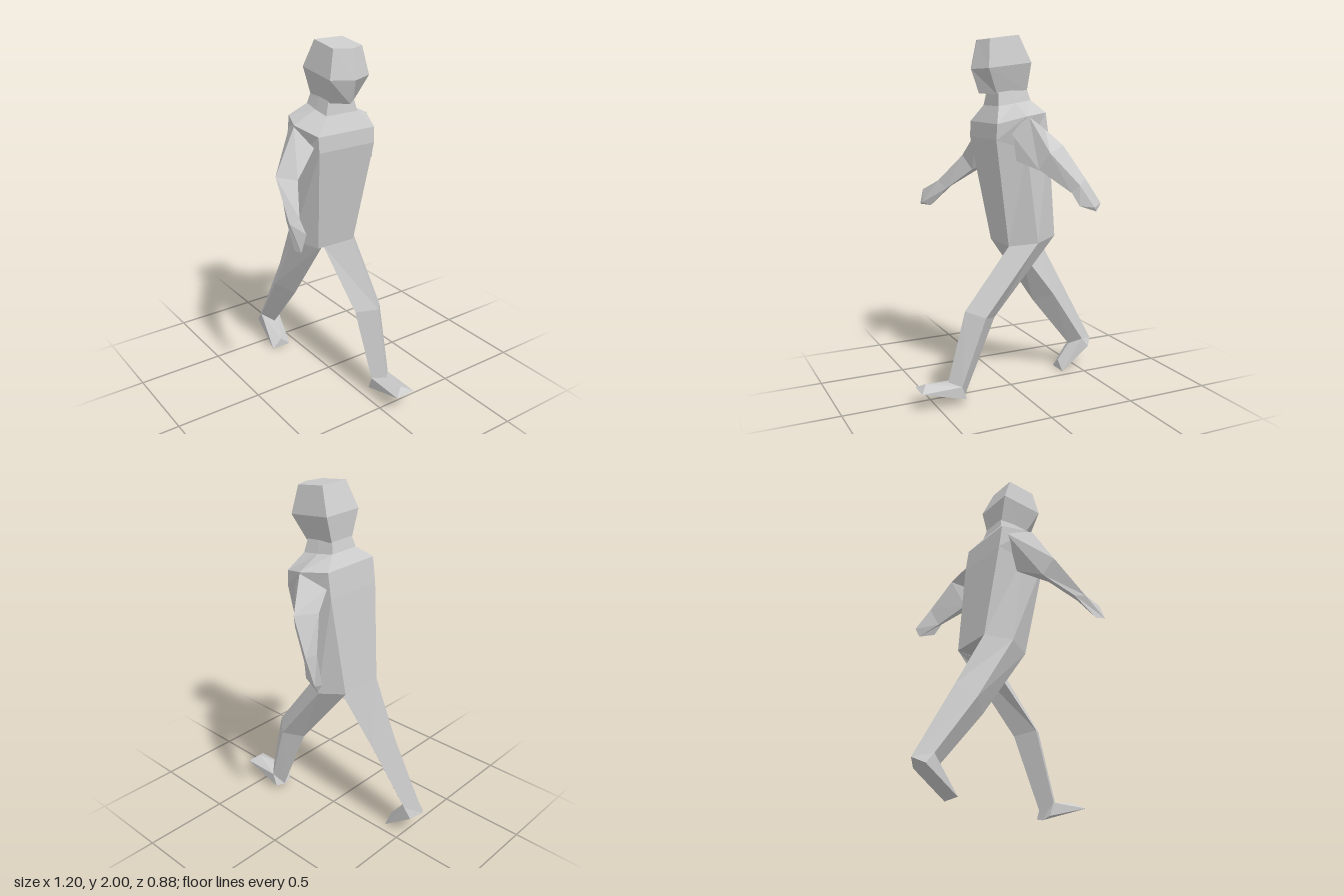
import * as THREE from 'three';
import { ConvexGeometry } from 'three/addons/geometries/ConvexGeometry.js';

const material = new THREE.MeshStandardMaterial({
  color: 0xcccccc, flatShading: true, side: THREE.DoubleSide,
});

// Joins rings of [x, y, z] corners into a closed faceted body, facing outwards.
function loft(rings) {
  const tris = [];
  const n = rings[0].length;
  for (let r = 0; r + 1 < rings.length; r++) {
    const a = rings[r], b = rings[r + 1];
    for (let i = 0; i < n; i++) {
      const j = (i + 1) % n;
      tris.push([a[i], a[j], b[j]], [a[i], b[j], b[i]]);
    }
  }
  const first = rings[0], last = rings[rings.length - 1];
  for (let i = 1; i + 1 < n; i++) {
    tris.push([first[0], first[i + 1], first[i]], [last[0], last[i], last[i + 1]]);
  }
  // Signed volume tells whether the faces point inwards
  const v = (p) => new THREE.Vector3(...p);
  const volume = tris.reduce((s, [a, b, c]) => s + v(a).dot(v(b).cross(v(c))), 0);
  if (volume < 0) tris.forEach((t) => t.reverse());
  const geometry = new THREE.BufferGeometry();
  geometry.setAttribute('position', new THREE.Float32BufferAttribute(tris.flat(2), 3));
  geometry.computeVertexNormals();
  return geometry;
}

// Symmetric ring from its +z half, listed front to back; z = 0 points are not doubled.
function mirrored(half) {
  const other = half.filter((p) => p[2] !== 0).map(([x, y, z]) => [x, y, -z]).reverse();
  return [...half, ...other];
}

const hull = (points) => new ConvexGeometry(points.map((p) => new THREE.Vector3(...p)));

export function createModel() {
  const group = new THREE.Group();
  const add = (name, geometry) => {
    const mesh = new THREE.Mesh(geometry, material);
    mesh.name = name;
    group.add(mesh);
  };

  // Head: pentagonal rings with a ridge down the face
  add('head', loft([
    [[0.19, 1.69, 0], [0.12, 1.69, 0.078], [-0.06, 1.71, 0.078]],
    [[0.235, 1.82, 0], [0.185, 1.825, 0.123], [-0.065, 1.855, 0.12]],
    [[0.2, 1.973, 0], [0.165, 1.977, 0.09], [-0.005, 2, 0.088]],
  ].map(mirrored)));

  // Neck, shoulders and torso: hexagonal rings down to the hips
  add('torso', loft([
    [[0.11, 1.7, 0.08], [0.03, 1.71, 0.08], [-0.06, 1.715, 0.075]],
    [[0.12, 1.625, 0.1], [0.02, 1.64, 0.1], [-0.075, 1.655, 0.09]],
    [[0.165, 1.535, 0.18], [0.02, 1.575, 0.235], [-0.125, 1.59, 0.175]],
    [[0.17, 1.45, 0.178], [0, 1.4, 0.2], [-0.145, 1.45, 0.175]],
    [[0.07, 0.86, 0.12], [-0.07, 0.88, 0.2], [-0.21, 0.9, 0.13]],
  ].map(mirrored)));

  // Legs: diamond sections ordered front, outer, back, inner
  const hip = (s) => [[0.07, 0.86, 0.12 * s], [-0.07, 0.88, 0.2 * s],
    [-0.21, 0.9, 0.13 * s], [-0.06, 0.8, 0]];
  add('leftLeg', loft([
    hip(1),
    [[-0.2, 0.46, 0.11], [-0.29, 0.51, 0.195], [-0.37, 0.59, 0.108], [-0.29, 0.51, 0.02]],
    [[-0.45, 0.15, 0.11], [-0.51, 0.19, 0.17], [-0.6, 0.17, 0.108], [-0.51, 0.19, 0.05]],
  ]));
  add('rightLeg', loft([
    hip(-1),
    [[0.33, 0.52, -0.11], [0.24, 0.49, -0.19], [0.15, 0.46, -0.1], [0.24, 0.49, -0.015]],
    [[0.43, 0.125, -0.1], [0.37, 0.11, -0.16], [0.335, 0.025, -0.1], [0.37, 0.11, -0.04]],
  ]));

  // Feet: wedges with a ridge along the top
  add('leftFoot', hull([
    [-0.45, 0.15, 0.11], [-0.6, 0.17, 0.108], [-0.375, 0.055, 0.11],
    ...[0.05, 0.17].flatMap((z) => [[-0.51, 0.19, z], [-0.555, 0.135, z], [-0.375, 0, z]]),
  ]));
  add('rightFoot', hull([
    [0.43, 0.125, -0.1], [0.335, 0.02, -0.1], [0.56, 0.14, -0.1],
    ...[-0.04, -0.16].flatMap((z) => [[0.37, 0.11, z], [0.345, 0.035, z], [0.6, 0.107, z]]),
  ]));

  // Arms: sections ordered outer, front, lower, back, from shoulder to hand
  add('leftArm', loft([
    [[0.035, 1.573, 0.245], [0.13, 1.47, 0.185], [-0.035, 1.32, 0.185], [-0.105, 1.55, 0.18]],
    [[0.075, 1.34, 0.388], [0.165, 1.33, 0.31], [0.11, 1.245, 0.295], [0.035, 1.25, 0.335]],
    [[0.26, 1.15, 0.425], [0.29, 1.18, 0.383], [0.24, 1.13, 0.38], [0.2, 1.14, 0.405]],
    [[0.385, 1.04, 0.436], [0.38, 1.13, 0.402], [0.375, 1.05, 0.425], [0.32, 1.027, 0.434]],
  ]));
  add('rightArm', loft([
    [[0.01, 1.573, -0.245], [0.1, 1.5, -0.19], [0.06, 1.34, -0.18], [-0.12, 1.5, -0.18]],
    [[-0.055, 1.39, -0.357], [-0.015, 1.3, -0.31], [-0.09, 1.27, -0.26], [-0.17, 1.42, -0.29]],
    [[-0.2, 1.22, -0.42], [-0.165, 1.18, -0.395], [-0.2, 1.16, -0.375], [-0.25, 1.25, -0.39]],
    [[-0.28, 1.1, -0.44], [-0.2, 1.11, -0.42], [-0.295, 1.077, -0.432], [-0.323, 1.12, -0.43]],
  ]));

  return group;
}
